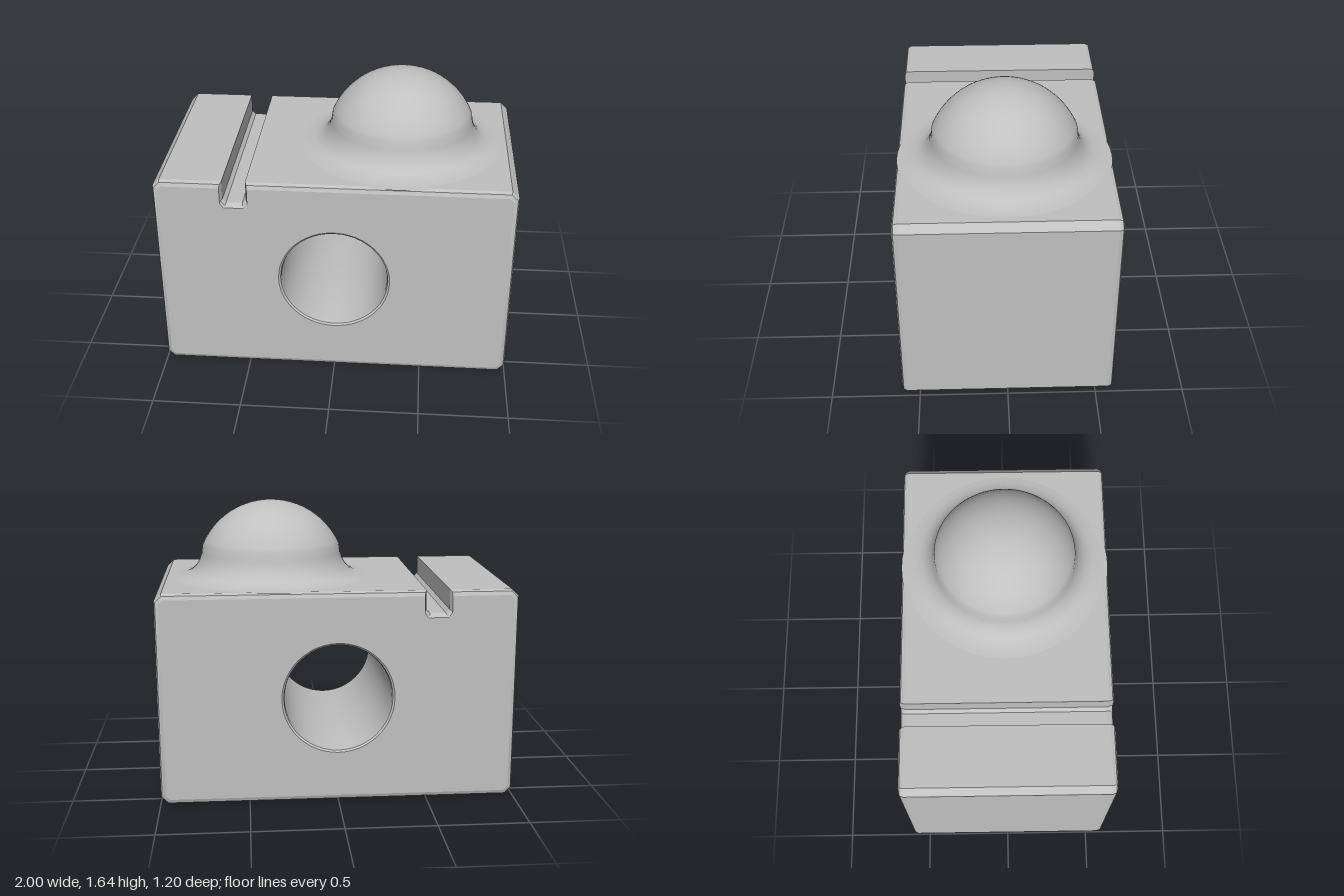
import * as THREE from 'three';
import { toCreasedNormals } from 'three/addons/utils/BufferGeometryUtils.js';

const HALF_DEPTH = 0.6, BEVEL = 0.03, HOLE_Y = 0.6, HOLE_R = 0.3;

// Block outline with softened corners, a slot in the top and a round bore
function blockShape() {
  const c = 0.04, f = 0.02; // corner and slot floor softening
  const l = -0.615, r = -0.485, floor = 1.07;
  const shape = new THREE.Shape([
    [-1 + c, 0], [1 - c, 0], [1, c], [1, 1.2 - c], [1 - c, 1.2],
    [r, 1.2], [r, floor + f], [r - f, floor], [l + f, floor], [l, floor + f], [l, 1.2],
    [-1 + c, 1.2], [-1, 1.2 - c], [-1, c],
  ].map(([x, y]) => new THREE.Vector2(x, y)));
  shape.holes.push(new THREE.Path().absarc(0, HOLE_Y, HOLE_R, 0, Math.PI * 2, true));
  return shape;
}

function blockGeometry() {
  const geo = new THREE.ExtrudeGeometry(blockShape(), {
    depth: 2 * (HALF_DEPTH - BEVEL), curveSegments: 24,
    bevelEnabled: true, bevelThickness: BEVEL, bevelSize: BEVEL,
    bevelOffset: -BEVEL, bevelSegments: 2,
  });
  geo.translate(0, 0, -(HALF_DEPTH - BEVEL));

  // Keep the chamfers of the bore and slot narrower than the outer ones
  const p = geo.attributes.position;
  for (let i = 0; i < p.count; i++) {
    const x = p.getX(i), y = p.getY(i);
    const d = Math.hypot(x, y - HOLE_Y);
    if (d < 0.4) {
      const s = (HOLE_R + (d - HOLE_R) * 0.5) / d;
      p.setXY(i, x * s, HOLE_Y + (y - HOLE_Y) * s);
    } else if (Math.abs(x + 0.55) < 0.12 && y > 0.9) {
      p.setXY(i, THREE.MathUtils.clamp(x, -0.627, -0.475), Math.max(y, 1.05));
    }
  }
  return toCreasedNormals(geo, 0.3);
}

// Dome whose foot flares smoothly into the top face
function domeGeometry() {
  const profile = [[0.6, 1.198], [0.55, 1.202], [0.505, 1.212], [0.47, 1.23],
    [0.442, 1.257], [0.42, 1.295], [0.407, 1.335]].map(([x, y]) => new THREE.Vector2(x, y));
  const steps = 18, start = 0.36;
  for (let i = 1; i <= steps; i++) {
    const a = start + (Math.PI / 2 - start) * i / steps;
    profile.push(new THREE.Vector2(i === steps ? 0 : 0.44 * Math.cos(a), 1.2 + 0.44 * Math.sin(a)));
  }
  return new THREE.LatheGeometry(profile, 64);
}

export function createModel() {
  const grey = new THREE.MeshStandardMaterial({ color: 0xc0c0c0 });
  grey.name = 'grey';

  const model = new THREE.Group();
  model.name = 'model';

  const block = new THREE.Mesh(blockGeometry(), grey);
  block.name = 'block';

  const dome = new THREE.Mesh(domeGeometry(), grey);
  dome.name = 'dome';
  dome.position.x = 0.35;

  model.add(block, dome);
  return model;
}
